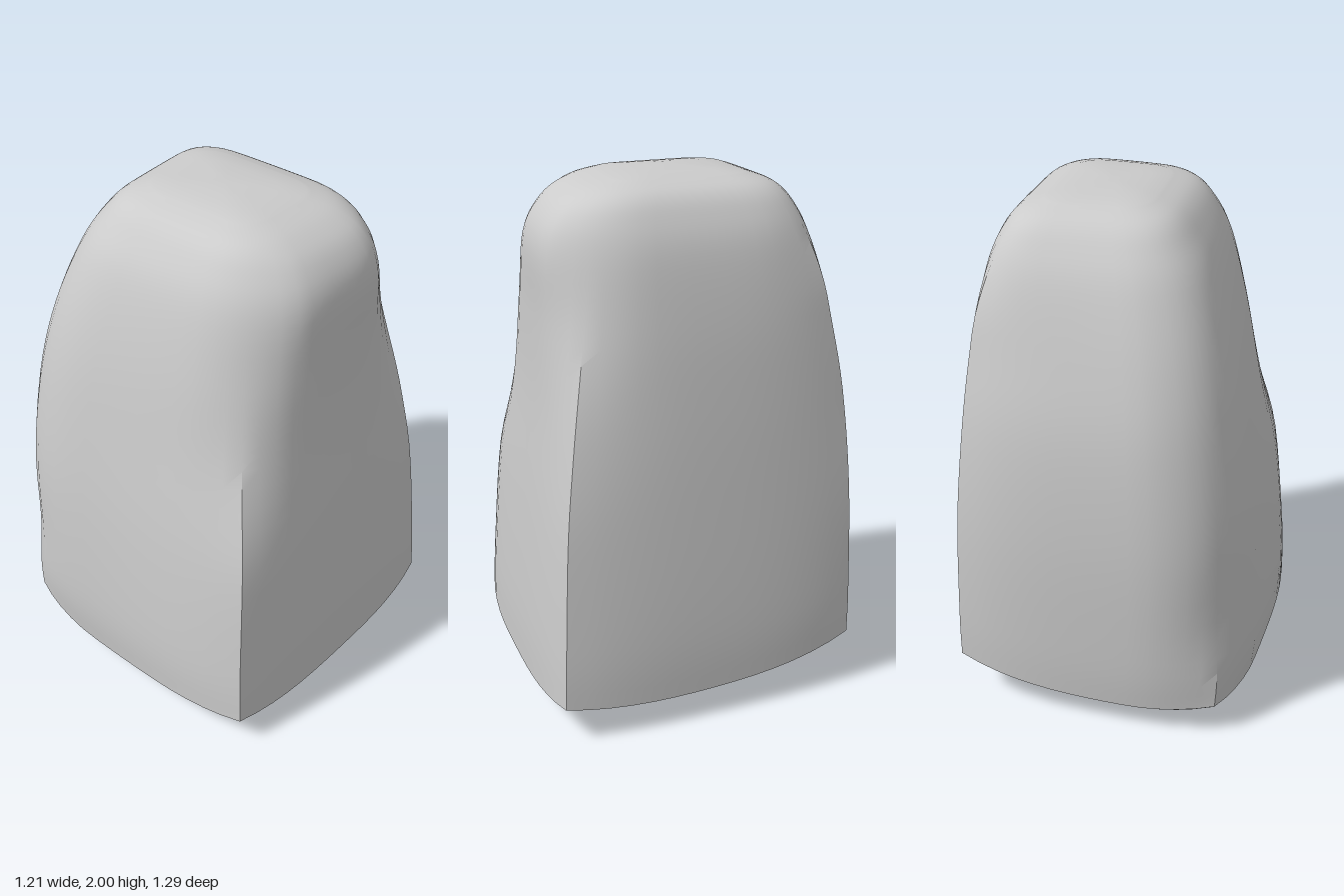
import * as THREE from 'three';
import { toCreasedNormals } from 'three/addons/utils/BufferGeometryUtils.js';

// Cross-sections: y, then face middles (left x, right x, front z, back z),
// then corners (x, z): front left, front right, back right, back left
const SECTIONS = [
  [0.13, -0.585, 0.595, 0.635, -0.6, -0.57, 0.57, 0.59, 0.61, 0.53, -0.56, -0.5, -0.585],
  [0.35, -0.595, 0.592, 0.632, -0.62, -0.56, 0.56, 0.58, 0.6, 0.53, -0.56, -0.53, -0.61],
  [0.8, -0.56, 0.56, 0.6, -0.638, -0.515, 0.53, 0.54, 0.57, 0.52, -0.55, -0.54, -0.62],
  [1.2, -0.5, 0.53, 0.56, -0.617, -0.435, 0.465, 0.48, 0.515, 0.49, -0.52, -0.5, -0.58],
  [1.5, -0.44, 0.5, 0.545, -0.555, -0.385, 0.43, 0.435, 0.48, 0.46, -0.47, -0.44, -0.52],
  [1.75, -0.365, 0.455, 0.54, -0.475, -0.335, 0.385, 0.405, 0.45, 0.425, -0.425, -0.36, -0.43],
  [1.88, -0.29, 0.4, 0.48, -0.4, -0.28, 0.34, 0.37, 0.41, 0.385, -0.385, -0.28, -0.37],
  [1.95, -0.22, 0.34, 0.38, -0.33, -0.22, 0.3, 0.32, 0.345, 0.33, -0.33, -0.22, -0.31],
  [1.985, -0.13, 0.25, 0.26, -0.24, -0.13, 0.23, 0.24, 0.25, 0.25, -0.24, -0.13, -0.23],
];
const SEG = 14;        // points along one face
const N = SEG * 4;
// How far each corner rounds off, in points, and the heights over which it does
const ROUND = [3, 3, 3, 4];
const FADE = [[0.8, 1.6], [1.1, 1.8], [1.55, 1.95], [-0.2, 0.6]];
// Extra height of the lower edge at each corner
const LIFT = [0, 0.01, 0.08, 0.01];

// Smooth interpolation through the sections
function section(t) {
  const last = SECTIONS.length - 1;
  const i = Math.min(Math.floor(t), last - 1), u = t - i;
  const [a, b, c, d] = [i - 1, i, i + 1, i + 2].map(k => SECTIONS[Math.max(0, Math.min(last, k))]);
  return b.map((p, k) => p + 0.5 * u * (c[k] - a[k]
    + u * (2 * a[k] - 5 * p + 4 * c[k] - d[k] + u * (3 * (p - c[k]) + d[k] - a[k]))));
}

// One closed loop: four bowed sides joined by sharp or rounded corners
function ring(t) {
  const [y, xl, xr, zf, zb, ...c] = section(t);
  const corner = [0, 1, 2, 3].map(k => new THREE.Vector3(c[2 * k], y, c[2 * k + 1]));
  const pts = [];
  const low = 1 - THREE.MathUtils.smoothstep(y, 0.13, 0.6);
  for (let k = 0; k < 4; k++) {
    const p = corner[k], q = corner[(k + 1) % 4];
    const bowX = k % 2 ? [xr, xl][(k - 1) / 2] - (p.x + q.x) / 2 : 0;
    const bowZ = k % 2 ? 0 : [zf, zb][k / 2] - (p.z + q.z) / 2;
    for (let j = 0; j < SEG; j++) {
      const s = j / SEG, bow = 1 - Math.abs(2 * s - 1) ** 3;
      const v = p.clone().lerp(q, s);
      v.x += bowX * bow;
      v.z += bowZ * bow;
      v.y += low * (LIFT[k] * (1 - s) ** 3 + LIFT[(k + 1) % 4] * s ** 3 - 0.025 * bow);
      pts.push(v);
    }
  }
  const out = pts.map(v => v.clone());
  for (let k = 0; k < 4; k++) {
    const r = THREE.MathUtils.smoothstep(y, ...FADE[k]), w = ROUND[k];
    const at = d => (k * SEG + d + N) % N;
    const curve = new THREE.QuadraticBezierCurve3(pts[at(-w)], pts[at(0)], pts[at(w)]);
    for (let d = -w; d <= w; d++) out[at(d)].lerp(curve.getPoint((d + w) / (2 * w)), r);
  }
  return out;
}

// Shallow, tilted underside
function underY(x, z) {
  return 0.002 + 0.1 * Math.max(0, x + 0.28) + 0.4 * Math.min(0, x + 0.28) ** 2 + 0.13 * z * z;
}

function blockGeometry() {
  const rows = [];
  const base = ring(0);
  // Underside, from its middle out to the lower edge
  for (const s of [0, 0.2, 0.4, 0.6, 0.75, 0.85, 0.92, 0.97]) {
    const blend = s < 0.75 ? 0 : ((s - 0.75) / 0.25) ** 2;
    rows.push(base.map(v => {
      const x = v.x * s, z = v.z * s;
      return new THREE.Vector3(x, THREE.MathUtils.lerp(underY(x, z), v.y, blend), z);
    }));
  }
  // Walls and shoulders
  const steps = (SECTIONS.length - 1) * 5;
  for (let i = 0; i <= steps; i++) rows.push(ring(i / 5));
  // Crown, closing at the top
  const rim = rows[rows.length - 1];
  for (const s of [0.66, 0.33, 0]) {
    rows.push(rim.map(v => new THREE.Vector3(0.05 + (v.x - 0.05) * s, 2 - 0.015 * s * s, v.z * s)));
  }

  const pos = rows.flat().flatMap(v => [v.x, v.y, v.z]);
  const index = [];
  for (let i = 0; i < rows.length - 1; i++) {
    for (let j = 0; j < N; j++) {
      const a = i * N + j, b = i * N + (j + 1) % N, c = b + N, d = a + N;
      if (i > 0) index.push(a, b, c);
      if (i < rows.length - 2) index.push(a, c, d);
    }
  }
  const geo = new THREE.BufferGeometry();
  geo.setAttribute('position', new THREE.Float32BufferAttribute(pos, 3));
  geo.setIndex(index);
  return toCreasedNormals(geo, 0.6);
}

export function createModel() {
  const group = new THREE.Group();
  group.name = 'standingStone';
  const stone = new THREE.Mesh(blockGeometry(), new THREE.MeshStandardMaterial({ color: 0xcccccc }));
  stone.name = 'stone';
  group.add(stone);
  return group;
}
